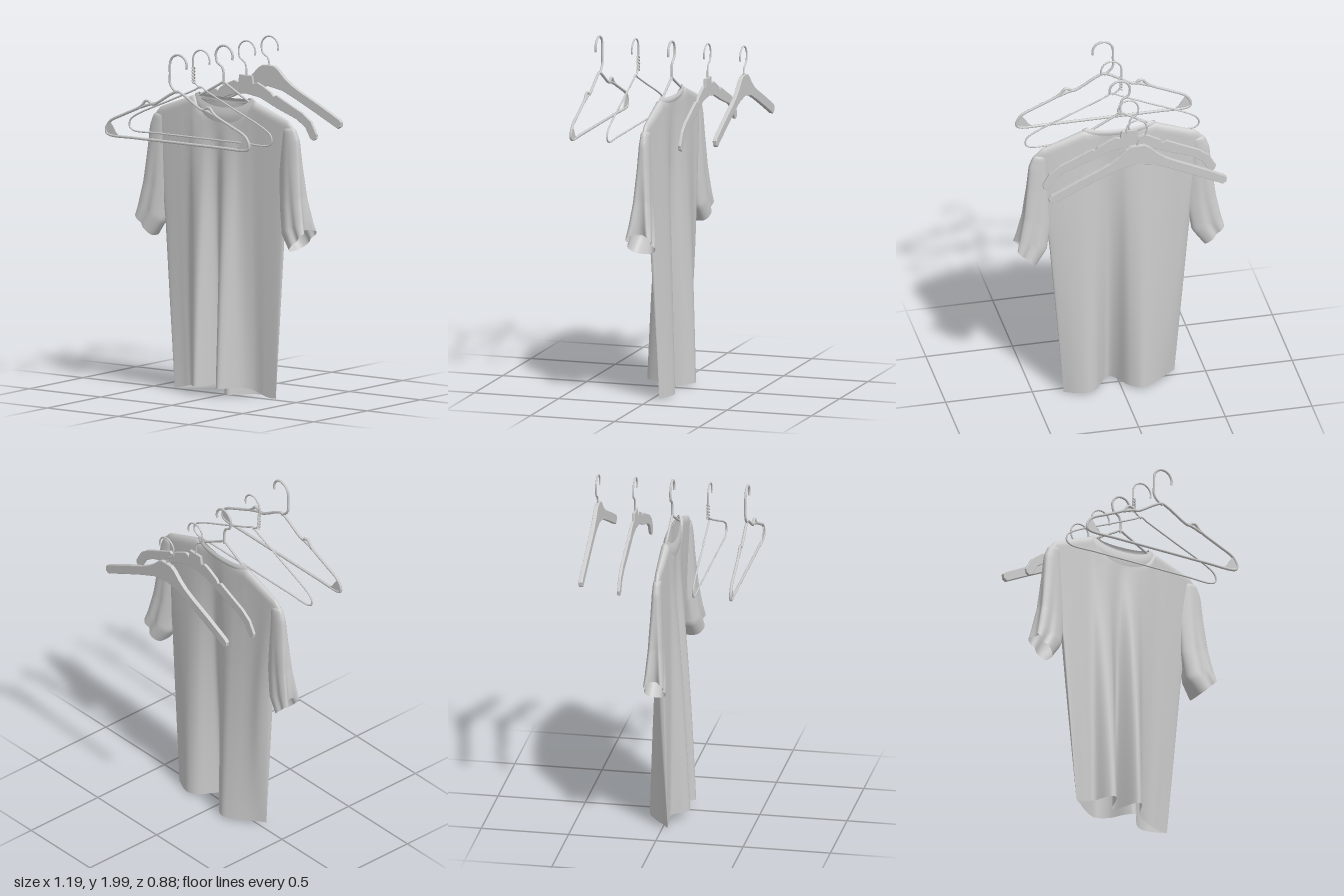
import * as THREE from 'three';

const mat = new THREE.MeshStandardMaterial({ color: 0xcccccc, side: THREE.DoubleSide });
const { lerp, smoothstep, clamp } = THREE.MathUtils;

function add(parent, name, geometry) {
  const mesh = new THREE.Mesh(geometry, mat);
  mesh.name = name;
  parent.add(mesh);
}

// Closed tube of cross-sections: fn(angle, v) returns [x, y, z]
function loft(fn, segs, rows) {
  const pos = [], idx = [];
  for (let j = 0; j <= rows; j++)
    for (let i = 0; i < segs; i++) pos.push(...fn((i / segs) * Math.PI * 2, j / rows));
  for (let j = 0; j < rows; j++)
    for (let i = 0; i < segs; i++) {
      const a = j * segs + i, b = j * segs + (i + 1) % segs;
      idx.push(a, a + segs, b, b, a + segs, b + segs);
    }
  const g = new THREE.BufferGeometry();
  g.setAttribute('position', new THREE.Float32BufferAttribute(pos, 3));
  g.setIndex(idx);
  g.computeVertexNormals();
  return g;
}

function rod(points, radius, closed = false, segs = 120) {
  const curve = new THREE.CatmullRomCurve3(points.map(p => new THREE.Vector3(p[0], p[1], p[2] || 0)), closed);
  return new THREE.TubeGeometry(curve, segs, radius, 8, closed);
}

// Piecewise linear lookup in [[t, value...], ...] rows
function sample(table, t, k = 1) {
  for (let i = 1; i < table.length; i++)
    if (t <= table[i][0]) {
      const a = table[i - 1], b = table[i];
      return lerp(a[k], b[k], (t - a[0]) / (b[0] - a[0]));
    }
  return table[table.length - 1][k];
}

// Smooth curve through [x, z] points
function smoothCurve(points) {
  const curve = new THREE.CubicInterpolant(points.map(p => p[0]), points.map(p => p[1]), 1);
  return x => curve.evaluate(x)[0];
}

const bump = (x, c, w) => Math.exp(-(((x - c) / w) ** 2));
const mirrorLoop = half => [...half, ...half.slice().reverse().filter(p => p[0] > 0).map(p => [-p[0], p[1]])];

// ---- Shirt ----
const NECK = 0.2, HEM = 0.328;
// Folds of the front and back panels along the hem
const frontHem = smoothCurve([[-0.328, 0.035], [-0.25, 0.028], [-0.195, 0.04], [-0.165, 0.095], [-0.14, 0.12], [-0.11, 0.117],
  [-0.09, 0.075], [-0.06, -0.005], [-0.035, -0.03], [-0.01, 0.03], [0.015, 0.105], [0.045, 0.127], [0.075, 0.09], [0.105, 0.02],
  [0.17, -0.035], [0.25, -0.04], [0.328, -0.04]]);
const backHem = smoothCurve([[-0.328, 0.035], [-0.28, 0], [-0.22, -0.05], [-0.16, -0.09], [-0.11, -0.108], [-0.06, -0.085],
  [-0.03, -0.055], [0.01, 0.02], [0.06, 0.055], [0.1, 0], [0.14, -0.06], [0.19, -0.087], [0.25, -0.078], [0.328, -0.04]]);

function shoulderY(x, front) {
  const ax = Math.abs(x);
  if (ax < NECK) return 1.7 - (front ? 0.13 : 0.03) * Math.sqrt(1 - (ax / NECK) ** 2);
  return 1.7 - (ax - NECK) * 0.37 - 0.03 * smoothstep(ax, 0.44, 0.5);
}

function bodyPoint(a, v0) {
  const v = 1 - (1 - v0) ** 1.6;                       // rows gather near the shoulders
  const u = Math.cos(a), s = Math.sin(a), front = s >= 0;
  const w = sample([[0, HEM], [0.6, 0.405], [0.85, 0.455], [1, 0.495]], v);
  const x = u * w;
  const side = x > 0 ? 0.008 : 0.02;                   // hem height at the side seams
  const hemY = front ? lerp(0.058, side, smoothstep(Math.abs(x + 0.02), 0.12, 0.32)) : lerp(0.02, side, Math.abs(u));
  const y = lerp(hemY, shoulderY(x, front), v);
  const fold = (front ? frontHem : backHem)(x - (w - HEM) * u * Math.abs(u));
  const edge = Math.sign(s) * Math.abs(s) ** 0.5;
  const armpit = front ? 0 : 0.03 * bump(u, -0.9, 0.15) * 4 * v * (1 - v);
  const puff = edge * (0.026 * v + 0.01 * Math.sin(Math.PI * v) + armpit);
  const cap = Math.sqrt(1 - clamp((v - 0.975) / 0.025, 0, 1) ** 2);
  const rim = Math.sign(s) * 0.027 * Math.sqrt(Math.max(0, 1 - (x / NECK) ** 2));
  return [x, y, lerp(rim, fold * (1 - v) + puff, cap)];
}

// t, outer x, outer y, inner x, inner y, half depth
const sleeveRows = [
  [0, 0.455, 1.575, 0.4, 1.57, 0.008], [0.06, 0.495, 1.565, 0.39, 1.55, 0.024], [0.18, 0.522, 1.5, 0.385, 1.47, 0.03],
  [0.35, 0.538, 1.37, 0.385, 1.33, 0.039], [0.65, 0.567, 1.18, 0.395, 1.12, 0.056],
  [0.88, 0.599, 1.05, 0.42, 0.96, 0.076], [1, 0.612, 0.995, 0.485, 0.87, 0.087]];
function sleevePoint(side) {
  return (a, t) => {
    const [ox, oy, ix, iy, d] = [1, 2, 3, 4, 5].map(k => sample(sleeveRows, t, k));
    const m = (1 + Math.cos(a)) / 2, s = Math.sin(a);
    // the cuff pinches in along its outer edge, and the top blends into the body
    const pinch = 0.05 * t * t * m * bump(s, 0, 0.35);
    const crease = 1 - 0.25 * t * bump(m, 0.55, 0.12);
    const blend = lerp(smoothstep(m, -0.2, 0.6), 1, t);
    const depth = (side < 0 ? d * (1 - 0.25 * t) : d) * crease * blend;
    return [side * (lerp(ix, ox, m) - pinch), lerp(iy, oy, m), Math.sign(s) * Math.abs(s) ** lerp(0.8, 0.65, t) * depth];
  };
}

function collarPoint(a, v) {
  const s = Math.sin(a), low = 1.7 - (s > 0 ? 0.14 : 0.04) * Math.abs(s);
  const high = 1.715 - (s > 0 ? 0.07 : 0.02) * Math.abs(s);
  const puff = 0.006 * Math.sin(Math.PI * v);
  return [Math.cos(a) * (NECK + 0.012 - 0.03 * v + puff), lerp(low, high, v), s * (0.029 - 0.006 * v + puff)];
}

function makeShirt() {
  const shirt = new THREE.Group();
  shirt.name = 'shirt';
  add(shirt, 'shirtBody', loft(bodyPoint, 200, 60));
  add(shirt, 'collar', loft(collarPoint, 64, 8));
  add(shirt, 'leftSleeve', loft(sleevePoint(1), 48, 40));
  add(shirt, 'rightSleeve', loft(sleevePoint(-1), 48, 40));
  return shirt;
}

// ---- Hangers ----
function hook(stem, radius) {
  const pts = [];
  for (let i = 0; i <= 12; i++) {
    const a = (-0.1 + i / 12 * 1.1) * Math.PI;
    pts.push([0.005 + 0.059 * Math.cos(a), 1.935 + 0.059 * Math.sin(a)]);
  }
  return rod([...pts, ...stem], radius, false, 60);
}
const curvedStem = [[-0.045, 1.895], [-0.01, 1.87], [0, 1.84], [0, 1.77]];
const sideStem = [[-0.054, 1.88], [-0.054, 1.83], [-0.035, 1.8], [0, 1.775]];

function hanger(name, z) {
  const g = new THREE.Group();
  g.name = name;
  g.position.set(-0.01, 0, z);
  return g;
}

function tubularHanger() {
  const g = hanger('tubularHanger', 0.43);
  add(g, 'frame', rod(mirrorLoop([[0, 1.785], [0.04, 1.77], [0.18, 1.695], [0.2, 1.71], [0.225, 1.712], [0.245, 1.69], [0.27, 1.67],
    [0.38, 1.62], [0.475, 1.573], [0.502, 1.53], [0.5, 1.506], [0.48, 1.495], [0.3, 1.493], [0, 1.493]]), 0.008, true, 240));
  add(g, 'hook', hook(sideStem, 0.007));
  for (const s of [-1, 1]) {
    // web filling each corner
    const web = new THREE.Shape([[0.475, 1.573], [0.5, 1.53], [0.498, 1.506], [0.48, 1.495], [0.41, 1.494], [0.435, 1.515], [0.45, 1.54]]
      .map(p => new THREE.Vector2(s * p[0], p[1])));
    add(g, 'cornerWeb', new THREE.ExtrudeGeometry(web, { depth: 0.006, bevelEnabled: false }).translate(0, 0, -0.003));
    // strap notch bridge
    add(g, 'strapNotch', rod([[s * 0.17, 1.7], [s * 0.21, 1.69], [s * 0.265, 1.67]], 0.008, false, 16));
  }
  return g;
}

function wireHanger(name, z, half, stem, radius) {
  const g = hanger(name, z);
  add(g, 'frame', rod(mirrorLoop(half), radius, true, 200));
  add(g, 'hook', hook(stem, radius));
  return g;
}

// Two strands wound round the neck of a wire hanger
function twistNeck(g) {
  for (const phase of [0, Math.PI]) {
    const pts = [];
    for (let i = 0; i <= 30; i++) {
      const a = i / 30 * Math.PI * 5 + phase;
      pts.push([-0.05 + 0.007 * Math.cos(a), 1.8 + i / 30 * 0.09, 0.007 * Math.sin(a)]);
    }
    add(g, 'twistedNeck', rod(pts, 0.004, false, 90));
  }
  return g;
}

function boardHanger(name, z, half, depth) {
  const g = hanger(name, z);
  const shape = new THREE.Shape(mirrorLoop(half).map(p => new THREE.Vector2(p[0], p[1])));
  const b = 0.003;
  add(g, 'arms', new THREE.ExtrudeGeometry(shape, {
    depth: depth - 2 * b, bevelThickness: b, bevelSize: b, bevelOffset: -b, bevelSegments: 2
  }).translate(0, 0, b - depth / 2));
  add(g, 'hook', hook(curvedStem, 0.005));
  return g;
}

export function createModel() {
  const model = new THREE.Group();
  model.name = 'shirtAndHangers';
  model.add(makeShirt());
  model.add(tubularHanger());
  model.add(twistNeck(wireHanger('wireHanger', 0.215, [[0, 1.785], [0.04, 1.765], [0.2, 1.695], [0.46, 1.58],
    [0.495, 1.55], [0.5, 1.515], [0.475, 1.495], [0.3, 1.493], [0, 1.493]], sideStem, 0.005)));
  model.add(wireHanger('shirtHanger', 0, [[0, 1.785], [0.04, 1.765], [0.2, 1.68], [0.4, 1.595],
    [0.45, 1.56], [0.45, 1.53], [0.42, 1.51], [0.2, 1.505], [0, 1.505]], curvedStem, 0.007));
  // Thin board with a raised neck block and shoulder notches
  model.add(boardHanger('flatHanger', -0.213, [[0, 1.8], [0.045, 1.8], [0.052, 1.755], [0.08, 1.765], [0.12, 1.748],
    [0.18, 1.715], [0.195, 1.695], [0.215, 1.705], [0.3, 1.665], [0.4, 1.62], [0.46, 1.575], [0.5, 1.505],
    [0.495, 1.48], [0.475, 1.47], [0.455, 1.48], [0.42, 1.54], [0.36, 1.58], [0.22, 1.63], [0.1, 1.68], [0, 1.695]], 0.017));
  // Broad wooden board tapering to the tips
  model.add(boardHanger('woodenHanger', -0.427, [[0, 1.83], [0.04, 1.828], [0.07, 1.81], [0.11, 1.77], [0.16, 1.732],
    [0.22, 1.7], [0.36, 1.635], [0.5, 1.565], [0.514, 1.55], [0.51, 1.525], [0.49, 1.512], [0.35, 1.58],
    [0.2, 1.65], [0.1, 1.692], [0, 1.71]], 0.024));
  return model;
}
